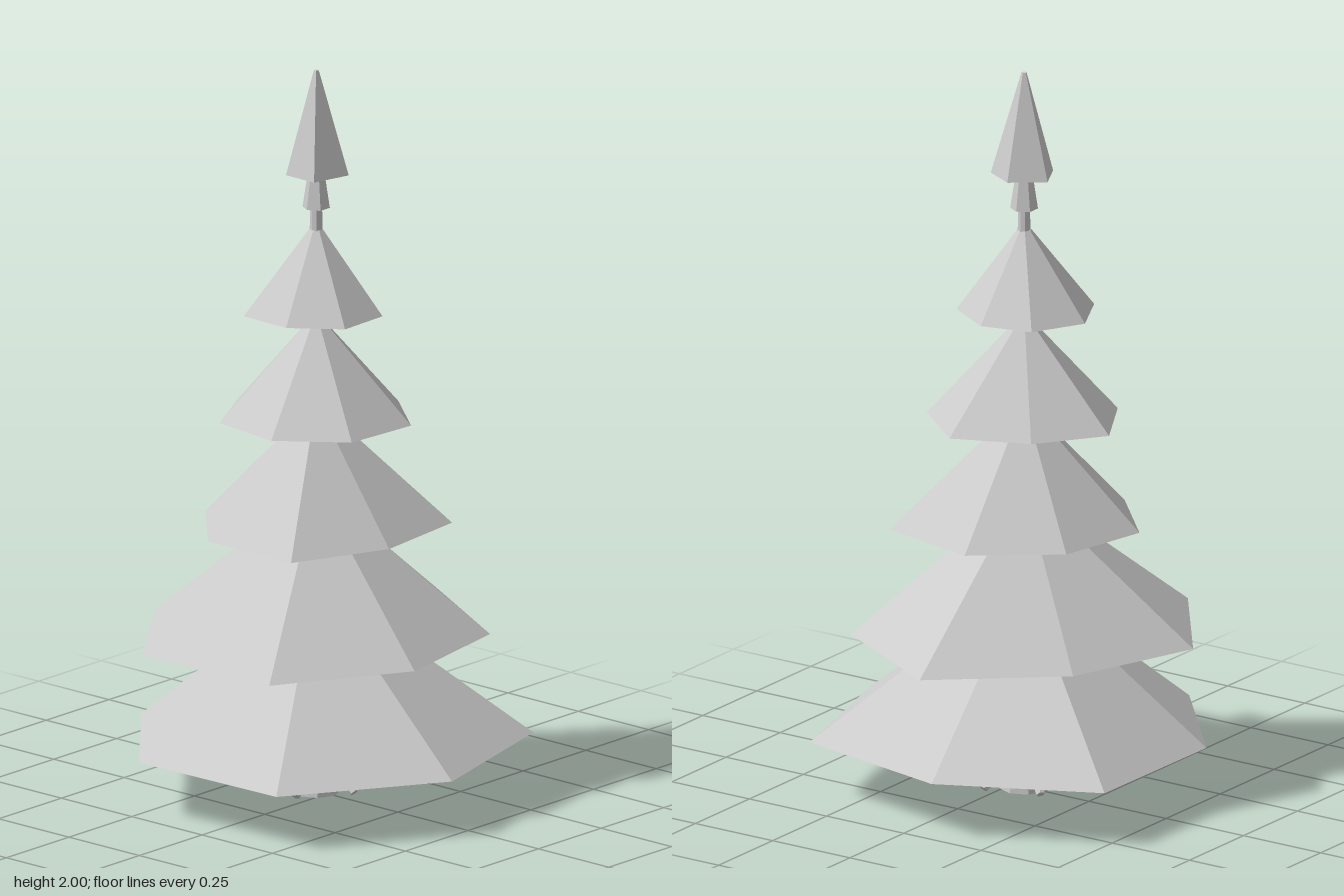
import * as THREE from 'three';

const material = new THREE.MeshStandardMaterial({ color: 0xcccccc, flatShading: true });
const AXIS = -0.04; // x of the trunk

// Each tier: base height, top height, top/base scale, base outline as x, z pairs
const TIERS = [
  { y0: 0.155, y1: 0.45, s: 0.32, ring: [0.51, 0.075, 0.375, -0.4, -0.09, -0.5, -0.51, -0.3, -0.515, 0.165, -0.225, 0.5, 0.255, 0.49] },
  { y0: 0.44, y1: 0.75, s: 0.23, ring: [0.39, 0.09, 0.315, -0.295, -0.055, -0.505, -0.37, -0.245, -0.5, 0.125, -0.245, 0.465, 0.19, 0.445] },
  { y0: 0.74, y1: 1.045, s: 0.11, ring: [0.255, 0.04, 0.22, -0.25, -0.07, -0.318, -0.285, -0.155, -0.34, 0.105, -0.15, 0.308, 0.145, 0.308] },
  { y0: 1.035, y1: 1.3, s: 0.1, ring: [0.195, -0.115, 0.02, -0.26, -0.185, -0.175, -0.315, 0.0, -0.2, 0.205, 0.01, 0.235, 0.18, 0.105] },
  { y0: 1.33, y1: 1.56, s: 0.1, ring: [0.12, -0.085, -0.015, -0.165, -0.155, -0.13, -0.23, 0.01, -0.155, 0.16, 0.0, 0.165, 0.125, 0.07] },
  { y0: 1.715, y1: 2.0, s: 0.08, ring: [0.04, -0.04, -0.045, -0.085, -0.13, -0.02, -0.085, 0.07, 0.015, 0.07] },
];

// Closed frustum over an irregular outline, narrowing toward the trunk axis
function tierGeometry({ y0, y1, s, ring }) {
  const n = ring.length / 2;
  const base = [], top = [], out = [];
  for (let i = 0; i < n; i++) {
    const x = ring[2 * i], z = ring[2 * i + 1];
    base.push([x, y0, z]);
    top.push([AXIS + (x - AXIS) * s, y1, z * s]);
  }
  const tri = (a, b, c) => out.push(...a, ...b, ...c);
  for (let i = 0; i < n; i++) {
    const j = (i + 1) % n;
    tri(base[i], base[j], top[j]);
    tri(base[i], top[j], top[i]);
    tri([AXIS, y1, 0], top[i], top[j]);
    tri([AXIS, y0, 0], base[j], base[i]);
  }
  const g = new THREE.BufferGeometry();
  g.setAttribute('position', new THREE.Float32BufferAttribute(out, 3));
  g.computeVertexNormals();
  return g;
}

// Tapered prism between two points
function limb(name, from, to, r0, r1, sides) {
  const dir = to.clone().sub(from);
  const mesh = new THREE.Mesh(new THREE.CylinderGeometry(r1, r0, dir.length(), sides), material);
  mesh.position.copy(from).addScaledVector(dir, 0.5);
  mesh.quaternion.setFromUnitVectors(new THREE.Vector3(0, 1, 0), dir.normalize());
  mesh.name = name;
  return mesh;
}

export function createModel() {
  const model = new THREE.Group();
  model.name = 'tree';
  const onAxis = (y) => new THREE.Vector3(AXIS, y, 0);

  // Foliage
  TIERS.forEach((tier, i) => {
    const mesh = new THREE.Mesh(tierGeometry(tier), material);
    mesh.name = i === TIERS.length - 1 ? 'treeTip' : `foliageTier${i + 1}`;
    model.add(mesh);
  });

  // Trunk, and the small collar under the tip
  model.add(limb('trunkBase', onAxis(0), onAxis(0.2), 0.066, 0.054, 8));
  model.add(limb('trunk', onAxis(0.2), onAxis(1.72), 0.054, 0.013, 8));
  model.add(limb('collar', onAxis(1.62), onAxis(1.72), 0.037, 0.022, 6));

  // Roots spreading from the trunk
  for (let i = 0; i < 5; i++) {
    const a = (i / 5) * Math.PI * 2;
    const at = (r, y) => new THREE.Vector3(AXIS + Math.cos(a) * r, y, Math.sin(a) * r);
    model.add(limb(`root${i + 1}`, at(0.035, 0.115), at(0.135, 0.022), 0.02, 0.012, 5));
  }
  return model;
}
